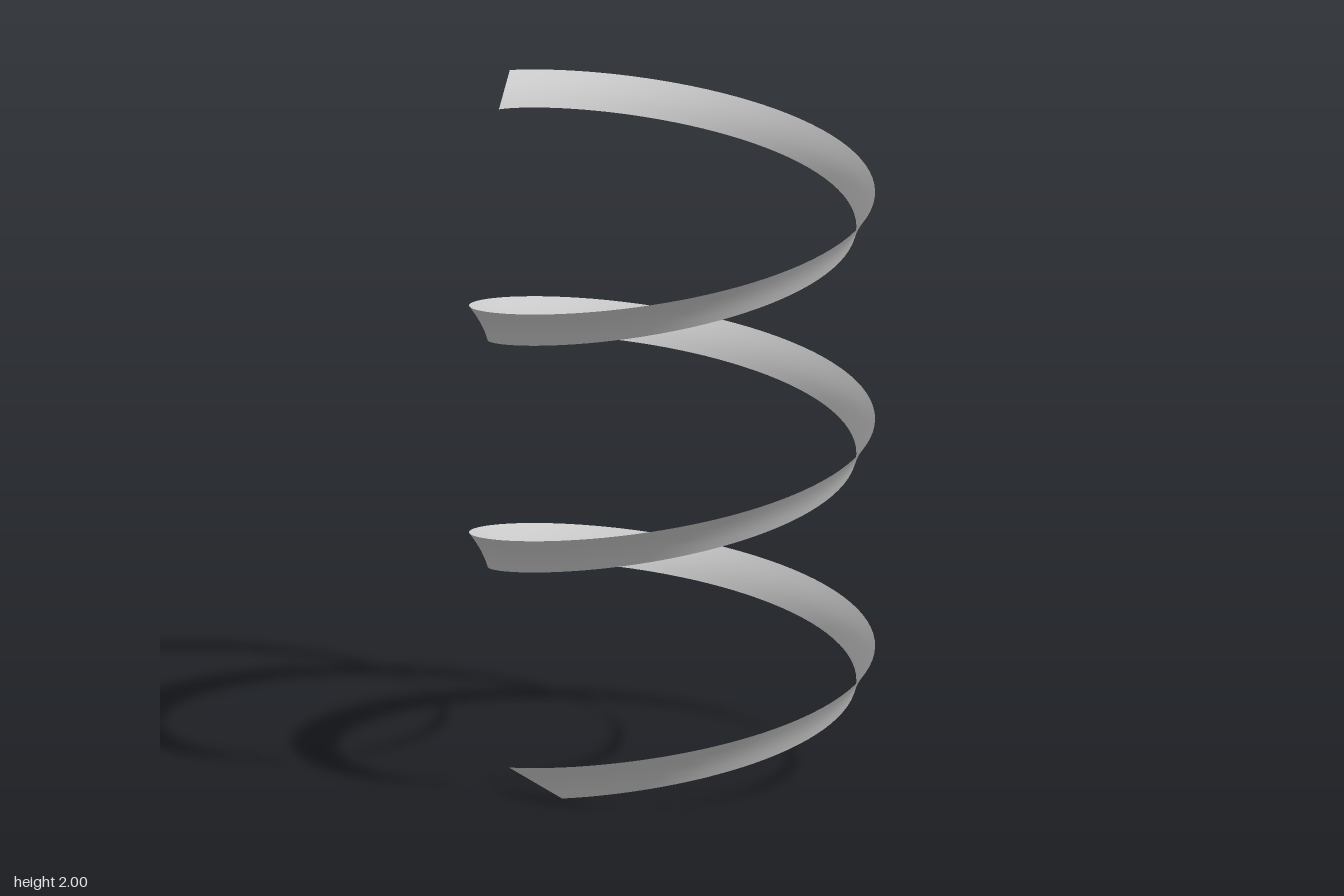
import * as THREE from 'three';

const SWEEP = 17.565; // radians covered by each edge of the ribbon
const RISE = 1.927; // height gained over the sweep

// Point on a helical edge, t from 0 (bottom) to 1 (top)
function helixPoint(t, radius, startAngle, startY) {
  const a = startAngle + t * SWEEP;
  return new THREE.Vector3(radius * Math.sin(a), startY + t * RISE, radius * Math.cos(a));
}

export function createModel() {
  const group = new THREE.Group();
  group.name = 'helixRibbon';

  // Flat strip wound so that straight rulings join the lower and upper edges
  const geometry = new THREE.PlaneGeometry(1, 1, 240, 4);
  const pos = geometry.attributes.position;
  for (let i = 0; i < pos.count; i++) {
    const t = pos.getX(i) + 0.5;
    const across = pos.getY(i) + 0.5;
    const lower = helixPoint(t, 0.541, -0.158, 0);
    const upper = helixPoint(t, 0.596, -0.452, 0.073);
    const p = lower.lerp(upper, across);
    pos.setXYZ(i, p.x, p.y, p.z);
  }
  geometry.computeVertexNormals();

  const material = new THREE.MeshStandardMaterial({ color: 0xcccccc, side: THREE.DoubleSide });
  const ribbon = new THREE.Mesh(geometry, material);
  ribbon.name = 'spiralRibbon';
  group.add(ribbon);
  return group;
}
